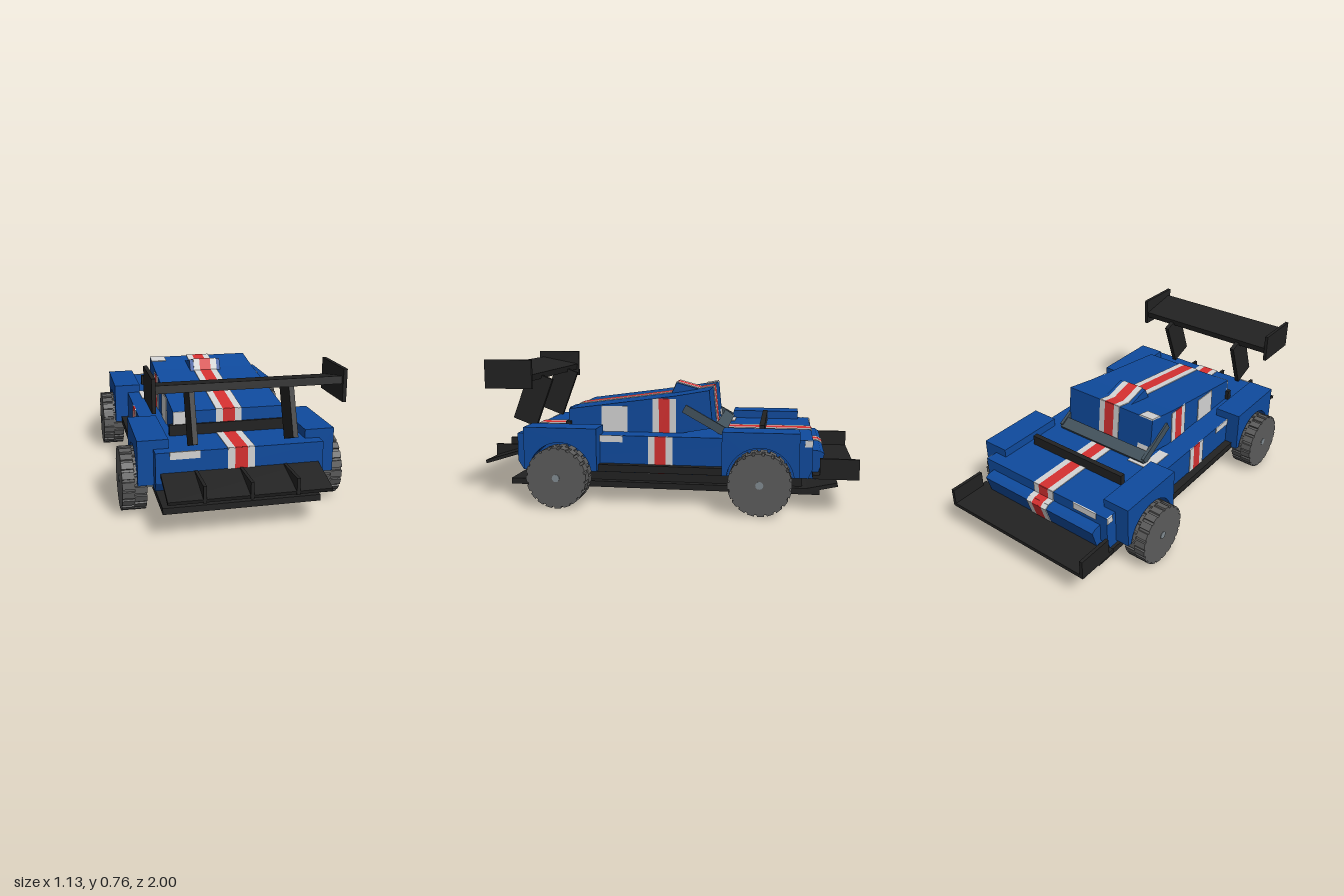
import * as THREE from 'three';

const mat = (name, color) => Object.assign(new THREE.MeshStandardMaterial({ color }), { name });

export function createModel() {
  const car = new THREE.Group();
  car.name = 'raceCar';
  const blue = mat('body blue', 0x0f4b9e);
  const white = mat('stripe white', 0xd4d4d4);
  const red = mat('stripe red', 0xd63030);
  const black = mat('trim black', 0x222222);
  const rubber = mat('wheel grey', 0x5c5c5c);
  const slate = mat('frame slate', 0x43525c);
  const metal = mat('metal grey', 0x828c92);

  const add = (name, geo, m, parent = car) => {
    const mesh = new THREE.Mesh(geo, m);
    mesh.name = name;
    parent.add(mesh);
    return mesh;
  };
  // box given by its minimum and maximum corners
  const box = (name, m, x0, x1, y0, y1, z0, z1) => {
    const b = add(name, new THREE.BoxGeometry(x1 - x0, y1 - y0, z1 - z0), m);
    b.position.set((x0 + x1) / 2, (y0 + y1) / 2, (z0 + z1) / 2);
    return b;
  };
  // slab running between two (z, y) points
  const slab = (name, m, x0, x1, [za, ya], [zb, yb], t = 0.008) => {
    const b = add(name, new THREE.BoxGeometry(x1 - x0, t, Math.hypot(zb - za, yb - ya)), m);
    b.position.set((x0 + x1) / 2, (ya + yb) / 2, (za + zb) / 2);
    b.rotation.x = -Math.atan2(yb - ya, zb - za);
    return b;
  };
  // side profile of (z, y) points, extruded across x
  const sideGeo = (shape, x0, x1) =>
    new THREE.ExtrudeGeometry(shape, { depth: x1 - x0, bevelEnabled: false, curveSegments: 16 })
      .rotateY(-Math.PI / 2).translate(x1, 0, 0);
  const profile = (name, m, pts, x0, x1) =>
    add(name, sideGeo(new THREE.Shape(pts.map(p => new THREE.Vector2(...p))), x0, x1), m);

  // floor and chassis
  box('floor', black, -0.39, 0.39, 0.083, 0.115, -0.81, 0.85);
  box('chassis', black, -0.35, 0.35, 0.115, 0.17, -0.72, 0.76);
  slab('floorLip', black, -0.39, 0.39, [-0.72, 0.1], [-0.9, 0.14], 0.02);
  box('exhaustBox', black, -0.065, 0.065, 0.115, 0.175, 0.74, 0.81);

  // main body
  profile('body', blue, [[0.8, 0.37], [0.8, 0.22], [0.77, 0.172], [-0.75, 0.172], [-0.77, 0.22], [-0.77, 0.37]], -0.413, 0.413);
  profile('bumper', blue, [[-0.75, 0.315], [-0.81, 0.31], [-0.83, 0.295], [-0.79, 0.16], [-0.75, 0.165]], -0.37, 0.37);

  // cabin and roof scoop
  profile('cabin', blue, [[0.55, 0.365], [0.55, 0.49], [-0.04, 0.57], [-0.225, 0.603], [-0.245, 0.4], [-0.05, 0.365]], -0.285, 0.285);
  profile('roofScoop', blue, [[0.01, 0.56], [-0.02, 0.623], [-0.15, 0.588], [-0.15, 0.56]], -0.087, 0.087);

  // low bars across the decks
  for (const z of [0.548, -0.507]) box('deckBar', black, -0.305, 0.305, 0.365, 0.425, z - 0.014, z + 0.014);

  // windscreen frame
  slab('windscreenBar', slate, -0.29, 0.29, [-0.255, 0.41], [-0.31, 0.375], 0.04);

  for (const s of [-1, 1]) {
    const span = (a, b) => (s > 0 ? [a, b] : [-b, -a]);
    slab('windscreenStrut', slate, ...span(0.278, 0.295), [-0.09, 0.505], [-0.305, 0.385], 0.045);
    box('sideSkirt', black, ...span(0.4, 0.455), 0.182, 0.22, -0.32, 0.35);

    for (const [z, z0, z1] of [[0.543, 0.343, 0.738], [-0.507, -0.703, -0.312]]) {
      // fender with a wheel arch
      const f = new THREE.Shape();
      const a = Math.asin(0.025 / 0.172);
      f.moveTo(z0, 0.415);
      f.lineTo(z0, 0.19);
      f.absarc(z, 0.165, 0.172, Math.PI - a, a, true);
      f.lineTo(z1, 0.19);
      f.lineTo(z1, 0.415);
      add('fender', sideGeo(f, ...span(0.34, 0.49)), blue);

      // wheel: two tread halves with offset teeth, and a small hub
      const wheel = new THREE.Group();
      wheel.name = 'wheel';
      wheel.position.set(s * 0.5, 0.162, z);
      car.add(wheel);
      const teeth = 20;
      for (const half of [0, 1]) {
        const pts = [];
        for (let i = 0; i < teeth; i++) {
          for (const [k, r] of [[0, 0.161], [0.68, 0.161], [0.72, 0.152], [0.96, 0.152]]) {
            const t = ((i + k + half * 0.5) / teeth) * Math.PI * 2;
            pts.push(new THREE.Vector2(Math.cos(t) * r, Math.sin(t) * r));
          }
        }
        add('tyreHalf', sideGeo(new THREE.Shape(pts), half * 0.06 - 0.06, half * 0.06), rubber, wheel);
      }
      add('hub', new THREE.CylinderGeometry(0.02, 0.02, 0.126, 12).rotateZ(Math.PI / 2), metal, wheel);
      box('axle', metal, ...span(0.25, 0.45), 0.11, 0.132, z - 0.025, z + 0.025);
    }

    // wing supports and end plates
    slab('wingStrut', black, ...span(0.227, 0.252), [0.817, 0.405], [0.717, 0.67], 0.14);
    box('wingEndPlate', black, ...span(0.428, 0.446), 0.612, 0.766, 0.7, 0.96);
    box('splitterEndPlate', black, ...span(0.432, 0.45), 0.18, 0.285, -1, -0.805);

    // side stripes and panels
    for (const [x, y0, y1] of [[0.285, 0.37, 0.555], [0.413, 0.172, 0.37]]) {
      const sx = span(x - 0.004, x + 0.004);
      box('sideStripeWhite', white, ...sx, y0, y1, 0.047, 0.082);
      box('sideStripeRed', red, ...sx, y0, y1, -0.012, 0.047);
      box('sideStripeWhite', white, ...sx, y0, y1, -0.047, -0.012);
    }
    box('cabinSidePanel', white, ...span(0.281, 0.289), 0.37, 0.51, 0.22, 0.365);
    box('bodySidePanel', white, ...span(0.409, 0.417), 0.335, 0.37, 0.22, 0.343);
    box('noseSidePanel', white, ...span(0.409, 0.417), 0.335, 0.37, -0.768, -0.73);
  }

  // rear wing, splitter and diffuser
  slab('wing', black, -0.43, 0.43, [0.712, 0.668], [0.942, 0.712], 0.036);
  box('splitter', black, -0.45, 0.45, 0.18, 0.2, -1, -0.77);
  slab('diffuser', black, -0.39, 0.39, [0.79, 0.263], [0.995, 0.2], 0.018);
  for (const x of [-0.22, 0, 0.22]) {
    profile('diffuserFin', black, [[0.8, 0.272], [0.8, 0.25], [1, 0.19], [1, 0.272]], x - 0.008, x + 0.008);
  }

  // centre stripes following the surface from tail to nose
  const runs = [
    [[0.8, 0.175], [0.8, 0.372]],
    [[0.802, 0.37], [0.55, 0.37]],
    [[0.55, 0.37], [0.55, 0.492]],
    [[0.552, 0.49], [0.008, 0.564]],
    [[0.01, 0.56], [-0.02, 0.625]],
    [[-0.02, 0.623], [-0.15, 0.588]],
    [[-0.15, 0.59], [-0.227, 0.604]],
    [[-0.225, 0.605], [-0.245, 0.4]],
    [[-0.24, 0.37], [-0.772, 0.37]],
    [[-0.77, 0.372], [-0.77, 0.315]],
    [[-0.765, 0.314], [-0.812, 0.31]],
    [[-0.81, 0.31], [-0.83, 0.295]],
    [[-0.83, 0.296], [-0.79, 0.16]],
  ];
  for (const [a, b] of runs) {
    slab('stripeRed', red, -0.031, 0.031, a, b);
    slab('stripeWhite', white, -0.066, -0.031, a, b);
    slab('stripeWhite', white, 0.031, 0.066, a, b);
  }

  // white panels on one side of the tail, cabin and nose
  const panel = (name, x0, a, b) => slab(name, white, x0, -0.2, a, b);
  panel('tailPanel', -0.345, [0.8, 0.335], [0.8, 0.372]);
  panel('cabinRearPanel', -0.285, [0.55, 0.37], [0.55, 0.49]);
  panel('roofPanel', -0.285, [-0.155, 0.591], [-0.225, 0.603]);
  panel('cabinFrontPanel', -0.285, [-0.2265, 0.49], [-0.245, 0.4]);
  panel('deckPanel', -0.34, [-0.25, 0.37], [-0.33, 0.37]);
  panel('nosePanel', -0.345, [-0.77, 0.335], [-0.77, 0.372]);
  box('deckEdgePanel', white, -0.345, -0.285, 0.366, 0.374, -0.312, -0.155);
  return car;
}
